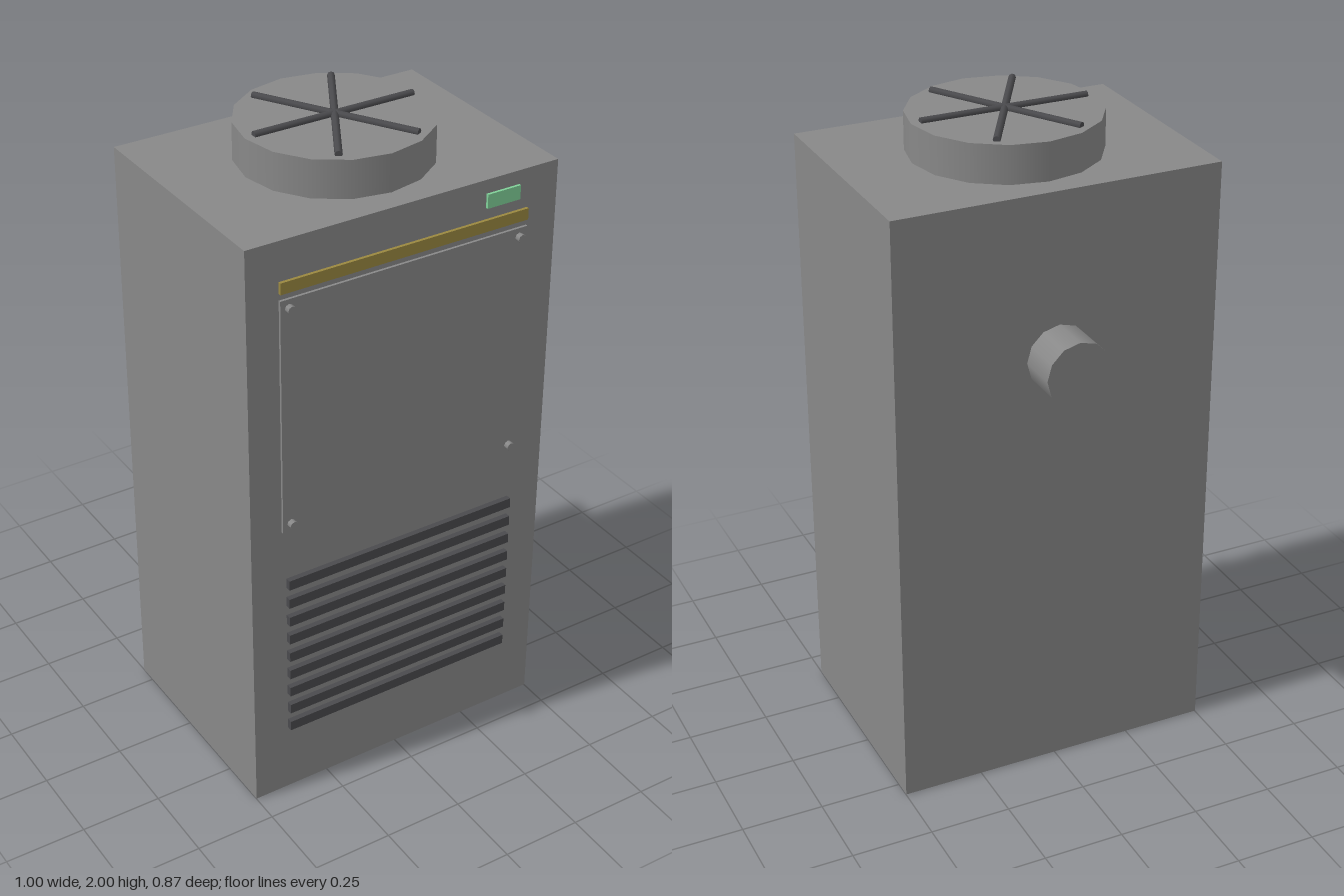
import * as THREE from 'three';

const mat = (name, color) => Object.assign(new THREE.MeshStandardMaterial({ color }), { name });

export function createModel() {
  const grey = mat('casing grey', 0x888888);
  const dark = mat('dark grey', 0x4a4a4d);
  const brass = mat('brass', 0x9a8840);
  const green = mat('indicator green', 0x80d098);

  const model = new THREE.Group();
  model.name = 'cabinet';

  const add = (name, geometry, material, x, y, z, parent = model) => {
    const mesh = new THREE.Mesh(geometry, material);
    mesh.name = name;
    mesh.position.set(x, y, z);
    parent.add(mesh);
    return mesh;
  };
  // Plate standing on the front face, reaching from the casing to the given depth
  const FRONT = 0.41;
  const plate = (name, material, x0, x1, y0, y1, z, parent) =>
    add(name, new THREE.BoxGeometry(x1 - x0, y1 - y0, z - FRONT), material,
      (x0 + x1) / 2, (y0 + y1) / 2, (z + FRONT) / 2, parent);

  // Casing and the recessed-edge plinth under it
  add('casing', new THREE.BoxGeometry(1, 1.868, 0.717), grey, 0, 0.936, 0.0515);
  add('plinth', new THREE.BoxGeometry(0.96, 0.04, 0.68), dark, 0, 0.02, 0.0515);

  // Fan housing with crossed guard rods on top
  add('fanHousing', new THREE.CylinderGeometry(0.285, 0.285, 0.125, 16), grey, 0, 1.9225, 0.05);
  const guard = new THREE.Group();
  guard.name = 'fanGuard';
  guard.position.set(0, 1.989, 0.05);
  model.add(guard);
  const rodGeometry = new THREE.CylinderGeometry(0.011, 0.011, 0.515, 8).rotateZ(Math.PI / 2);
  for (let i = 0; i < 3; i++) {
    add('guardRod', rodGeometry, dark, 0, 0, 0, guard).rotation.y = i * Math.PI / 3;
  }

  // Outlet pipe on the back
  add('outletPipe', new THREE.CylinderGeometry(0.1, 0.1, 0.145, 12).rotateX(Math.PI / 2),
    grey, 0, 1.37, -0.3625);

  // Access panel with a screw in each corner
  plate('accessPanel', grey, -0.4, 0.4, 0.95, 1.695, 0.418);
  const screwGeometry = new THREE.CylinderGeometry(0.013, 0.013, 0.022, 8).rotateX(Math.PI / 2);
  for (const x of [-0.373, 0.373]) {
    for (const y of [0.978, 1.668]) add('screw', screwGeometry, grey, x, y, 0.424);
  }

  // Trim strip and indicator light
  plate('trimStrip', brass, -0.4, 0.4, 1.715, 1.75, 0.4195);
  plate('indicatorLight', green, 0.26, 0.37, 1.785, 1.828, 0.418);

  // Vent slats
  const vent = new THREE.Group();
  vent.name = 'vent';
  model.add(vent);
  for (let i = 0; i < 9; i++) {
    const y = 0.248 + i * 0.065;
    plate('ventSlat', dark, -0.387, 0.387, y - 0.016, y + 0.016, 0.427, vent);
  }

  return model;
}
